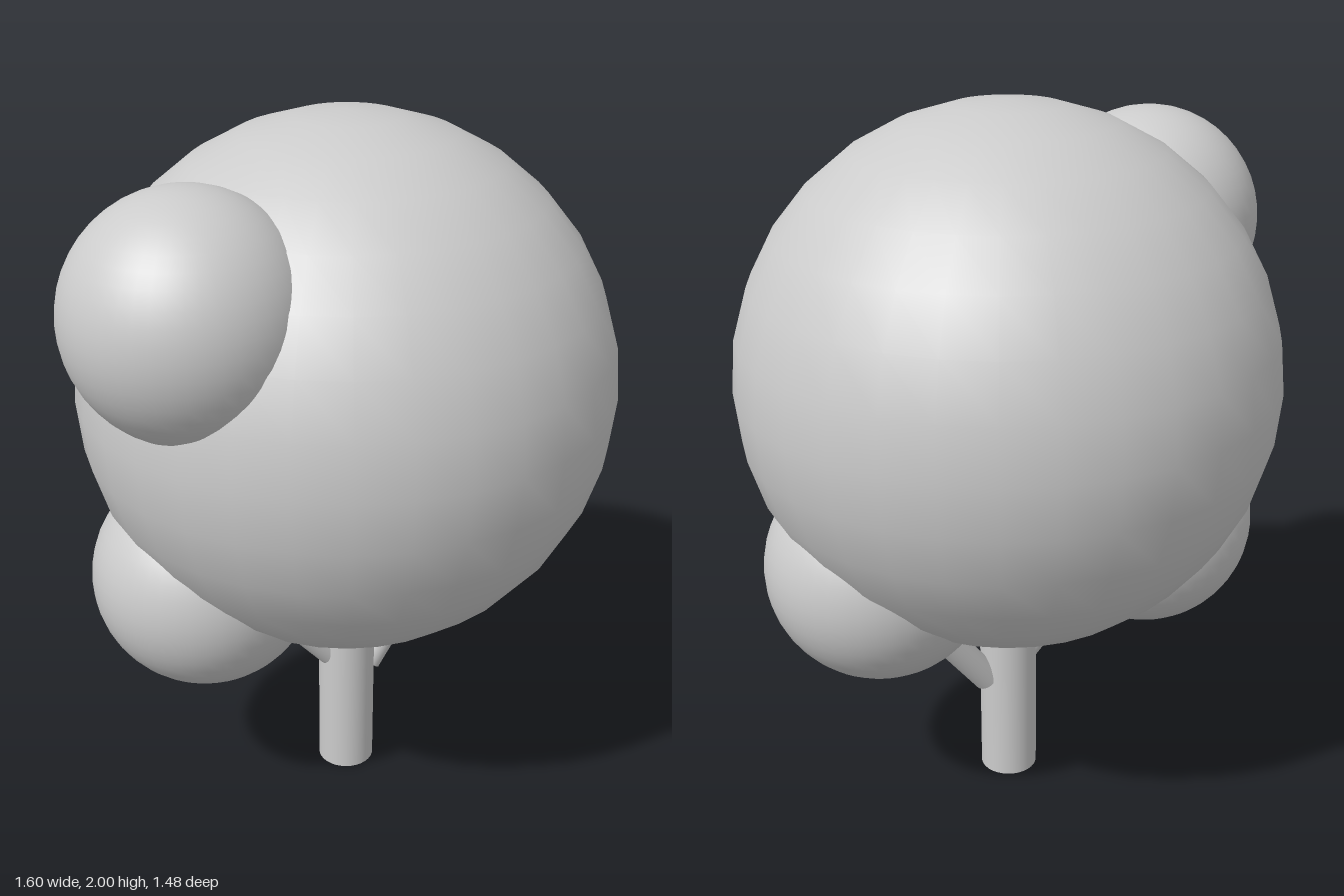
import * as THREE from 'three';

const material = new THREE.MeshStandardMaterial({ color: 0xcccccc });
const v = (x, y, z) => new THREE.Vector3(x, y, z);

export function createModel() {
  const tree = new THREE.Group();
  tree.name = 'tree';

  function addBall(name, center, radius, segments) {
    const mesh = new THREE.Mesh(new THREE.SphereGeometry(radius, segments, segments / 2), material);
    mesh.position.copy(center);
    mesh.name = name;
    tree.add(mesh);
  }

  // Cylinder running from one point to another
  function addLimb(name, from, to, radius) {
    const dir = to.clone().sub(from);
    const mesh = new THREE.Mesh(new THREE.CylinderGeometry(radius, radius, dir.length(), 32), material);
    mesh.position.copy(from).addScaledVector(dir, 0.5);
    mesh.quaternion.setFromUnitVectors(v(0, 1, 0), dir.normalize());
    mesh.name = name;
    tree.add(mesh);
  }

  // Trunk and main crown
  addLimb('trunk', v(0.06, 0, 0.013), v(0.06, 0.85, 0.013), 0.083);
  addBall('mainCrown', v(0.06, 1.263, 0), 0.738, 32);

  // Smaller leaf clusters
  const leftCluster = v(0.455, 0.785, 0.033);
  const rightCluster = v(-0.365, 0.76, -0.07);
  addBall('lowerLeftCluster', leftCluster, 0.315, 48);
  addBall('lowerRightCluster', rightCluster, 0.315, 48);
  addBall('upperRightCluster', v(-0.49, 1.6, 0.125), 0.315, 48);

  // Branches reaching into the lower clusters
  addLimb('leftBranch', v(0.132, 0.316, 0.018), v(0.41, 0.67, 0.02), 0.042);
  addLimb('rightBranch', v(0.017, 0.377, 0.005), v(-0.265, 0.7, -0.05), 0.042);

  return tree;
}
